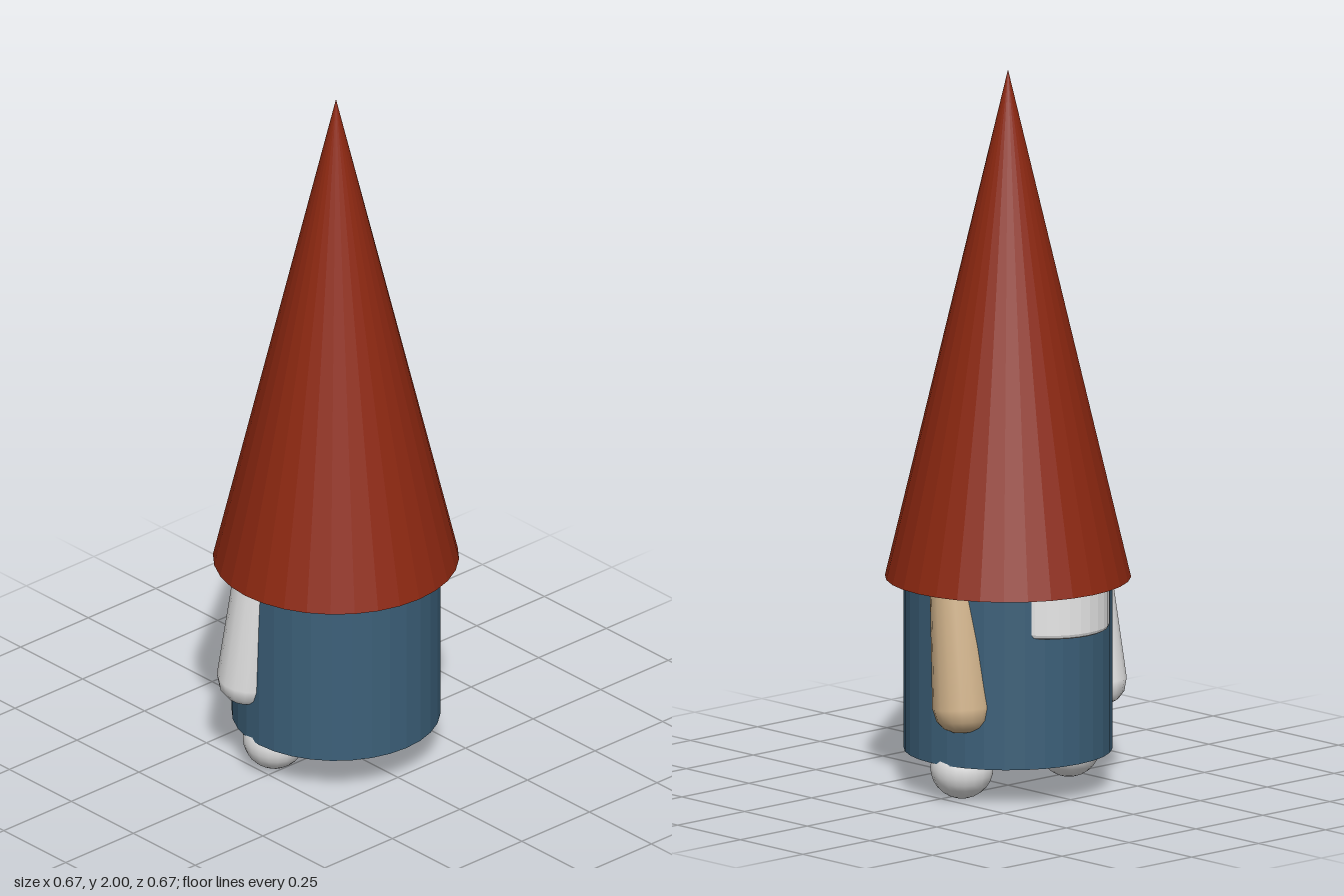
import * as THREE from 'three';

const paint = (name, color) => {
  const m = new THREE.MeshStandardMaterial({ color });
  m.name = name;
  return m;
};

// Give every facet its own normal
function faceted(geometry) {
  const g = geometry.toNonIndexed();
  g.computeVertexNormals();
  return g;
}

const lathe = (points, sides) =>
  new THREE.LatheGeometry(points.map(([r, y]) => new THREE.Vector2(r, y)), sides);

export function createModel() {
  const red = paint('hat red', 0x8e2811);
  const blue = paint('coat blue', 0x3c6079);
  const tan = paint('skin tan', 0xd2b48c);
  const white = paint('white', 0xf4f4f4);

  const model = new THREE.Group();
  model.name = 'gnome';
  const add = (name, geometry, material, x, y, z) => {
    const mesh = new THREE.Mesh(geometry, material);
    mesh.name = name;
    mesh.position.set(x, y, z);
    model.add(mesh);
    return mesh;
  };

  // Tall pointed hat
  add('hat', faceted(new THREE.ConeGeometry(0.336, 1.415, 32)), red, 0, 1.2925, 0);

  // Drum-shaped coat
  add('body', faceted(new THREE.CylinderGeometry(0.285, 0.285, 0.49, 32)), blue, 0, 0.35, 0);

  // Rounded beard emerging from under the hat at the back
  const beard = lathe([[0, 0], [0.155, 0], [0.162, 0.004], [0.165, 0.012], [0.165, 0.13], [0, 0.13]], 32);
  add('beard', faceted(beard), white, 0, 0.468, -0.163);

  // Tapered arms with rounded ends, leaning outwards and back
  const arm = lathe([[0, 0], [0.03, 0.003], [0.055, 0.014], [0.073, 0.034],
    [0.083, 0.07], [0.07, 0.385], [0.067, 0.45], [0, 0.45]], 16);
  for (const [side, name, material] of [[1, 'leftArm', tan], [-1, 'rightArm', white]]) {
    const mesh = add(name, arm, material, side * 0.252, 0.2, -0.094);
    mesh.rotation.set(0.117, 0, side * 0.026);
  }

  // Ball feet
  const foot = new THREE.SphereGeometry(0.087, 20, 14);
  for (const side of [1, -1]) {
    add(side > 0 ? 'leftFoot' : 'rightFoot', foot, white, side * 0.2, 0.087, -0.03);
  }

  return model;
}
